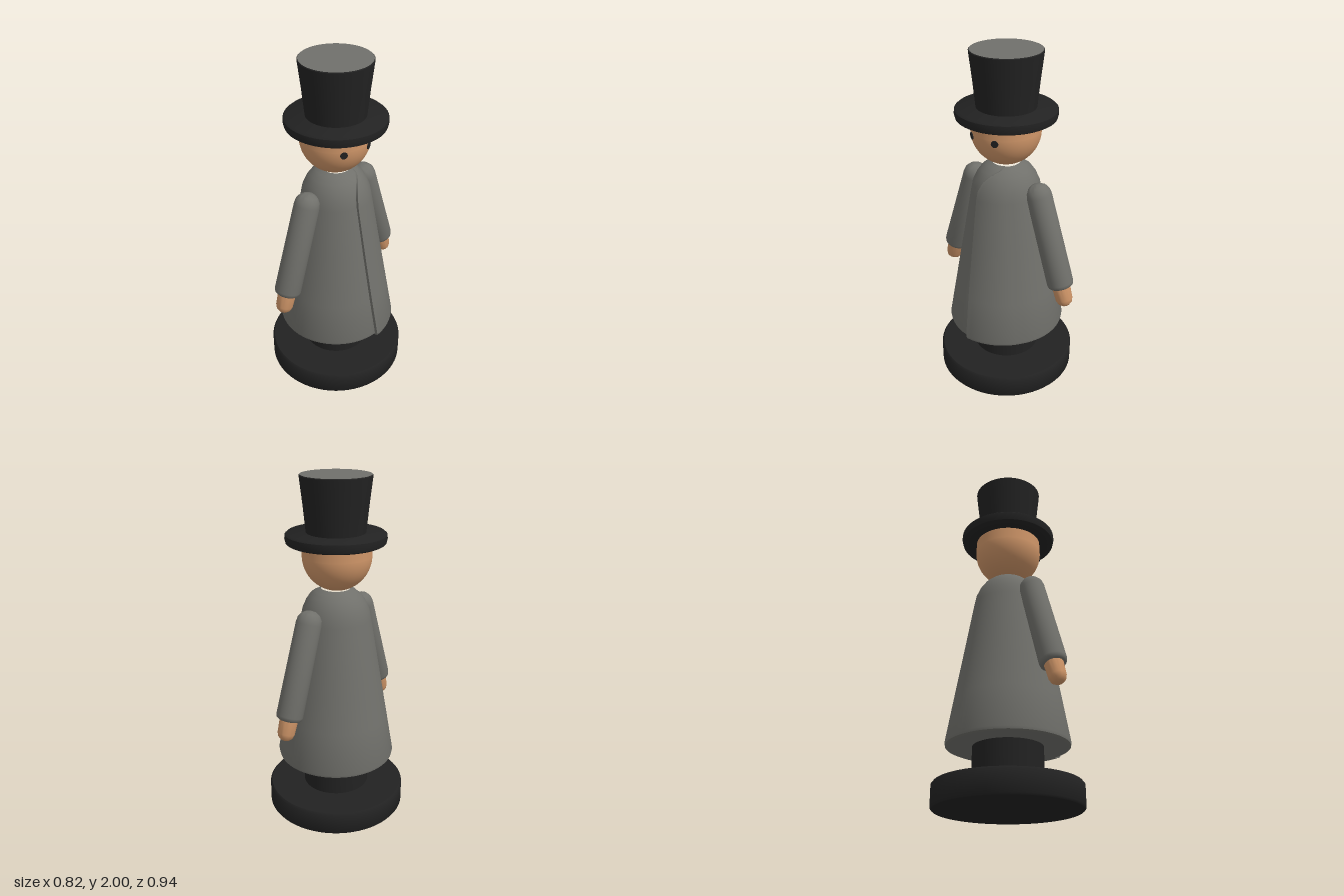
import * as THREE from 'three';
import { toCreasedNormals } from 'three/addons/utils/BufferGeometryUtils.js';

const material = (name, color) => {
  const m = new THREE.MeshStandardMaterial({ color });
  m.name = name;
  return m;
};

export function createModel() {
  const group = new THREE.Group();
  group.name = 'peg figure';
  const black = material('black', 0x222222);
  const grey = material('coat grey', 0x70706b);
  const skin = material('skin', 0xcd9467);

  const add = (name, geometry, mat, parent = group) => {
    const mesh = new THREE.Mesh(geometry, mat);
    mesh.name = name;
    parent.add(mesh);
    return mesh;
  };
  // Turned part from [radius, y] points, listed bottom to top
  const turned = (points, sides = 64) => toCreasedNormals(
    new THREE.LatheGeometry(points.map(([r, y]) => new THREE.Vector2(r, y)), sides), 0.7);

  // Round foot and the post above it
  add('base', turned([[0, 0.005], [0.4, 0.005], [0.408, 0.015], [0.408, 0.13], [0.398, 0.142], [0, 0.142]]), black);
  add('post', turned([[0.195, 0.13], [0.195, 0.36]]), black);

  // Wrapped coat: rings of [y, radius, flap height, seam angle]
  const rings = [
    [0.345, 0.15, 0, 0.02], [0.338, 0.325, 0.018, 0.02], [0.345, 0.341, 0.021, 0.02], [0.36, 0.344, 0.021, 0.03],
    [0.6, 0.303, 0.021, 0.07], [0.9, 0.251, 0.02, 0.12], [1.2, 0.2, 0.019, 0.18],
    [1.25, 0.19, 0.018, 0.17], [1.3, 0.168, 0.016, 0.08], [1.335, 0.143, 0.013, -0.1],
    [1.36, 0.113, 0.01, -0.4], [1.374, 0.08, 0.005, -0.6],
  ];
  const columns = 72;
  const positions = [];
  const index = [];
  rings.forEach(([y, radius, flap, seam], i) => {
    for (let j = 0; j <= columns; j++) {
      const turn = (j / columns) * Math.PI * 2;
      const r = radius + flap * Math.max(0, 1 - turn / 0.95);
      positions.push(r * Math.cos(seam - turn), y, r * Math.sin(seam - turn));
      if (i === rings.length - 1) continue;
      // The last column joins the first one and so forms the lapel step
      const next = (j + 1) % (columns + 1);
      const a = i * (columns + 1) + j;
      const b = i * (columns + 1) + next;
      const up = columns + 1;
      index.push(a, b, b + up, a, b + up, a + up);
    }
  });
  const coat = new THREE.BufferGeometry();
  coat.setAttribute('position', new THREE.Float32BufferAttribute(positions, 3));
  coat.setIndex(index);
  add('coat', toCreasedNormals(coat, 0.7), grey);

  // Head with two flat eyes on the +x side
  const headRadius = 0.195;
  const head = new THREE.Group();
  head.name = 'head';
  head.position.set(-0.003, 1.56, 0.005);
  group.add(head);
  add('face', new THREE.SphereGeometry(headRadius, 48, 32), skin, head);
  add('forehead', new THREE.CylinderGeometry(0.192, headRadius, 0.1, 48, 1, true), skin, head).position.y = 0.05;
  for (const z of [-0.07, 0.1]) {
    const outward = new THREE.Vector3(Math.sqrt(headRadius ** 2 - z * z - 0.0003), -0.015, z).normalize();
    const eye = add('eye', new THREE.CylinderGeometry(0.02, 0.02, 0.008, 20), black, head);
    eye.position.copy(outward).multiplyScalar(headRadius);
    eye.quaternion.setFromUnitVectors(new THREE.Vector3(0, 1, 0), outward);
  }

  // Top hat with a lighter crown disc
  add('hatBrim', turned([[0, 1.628], [0.262, 1.628], [0.276, 1.636], [0.282, 1.66], [0.28, 1.682],
    [0.268, 1.692], [0, 1.692]]), black);
  add('hatCrown', turned([[0.164, 1.68], [0.18, 1.84], [0.197, 1.985], [0.198, 1.996], [0.194, 2]]), black);
  const top = add('hatTop', new THREE.CircleGeometry(0.194, 64), grey);
  top.rotation.x = -Math.PI / 2;
  top.position.y = 2;

  // Arms hang outward on both sides; each sleeve runs down its own -y axis
  for (const side of [1, -1]) {
    const arm = new THREE.Group();
    arm.name = side > 0 ? 'rightArm' : 'leftArm';
    arm.position.set(0.004 * side, 1.222, side * 0.228);
    arm.rotation.x = -side * 0.315;
    group.add(arm);
    add('sleeve', turned([[0, -0.55], [0.062, -0.55], [0.072, -0.542], [0.076, -0.525], [0.072, 0],
      [0.067, 0.03], [0.05, 0.055], [0.026, 0.069], [0, 0.073]], 32), grey, arm);
    add('hand', turned([[0, -0.672], [0.024, -0.668], [0.041, -0.653], [0.049, -0.63],
      [0.053, -0.54]], 32), skin, arm);
  }
  return group;
}
